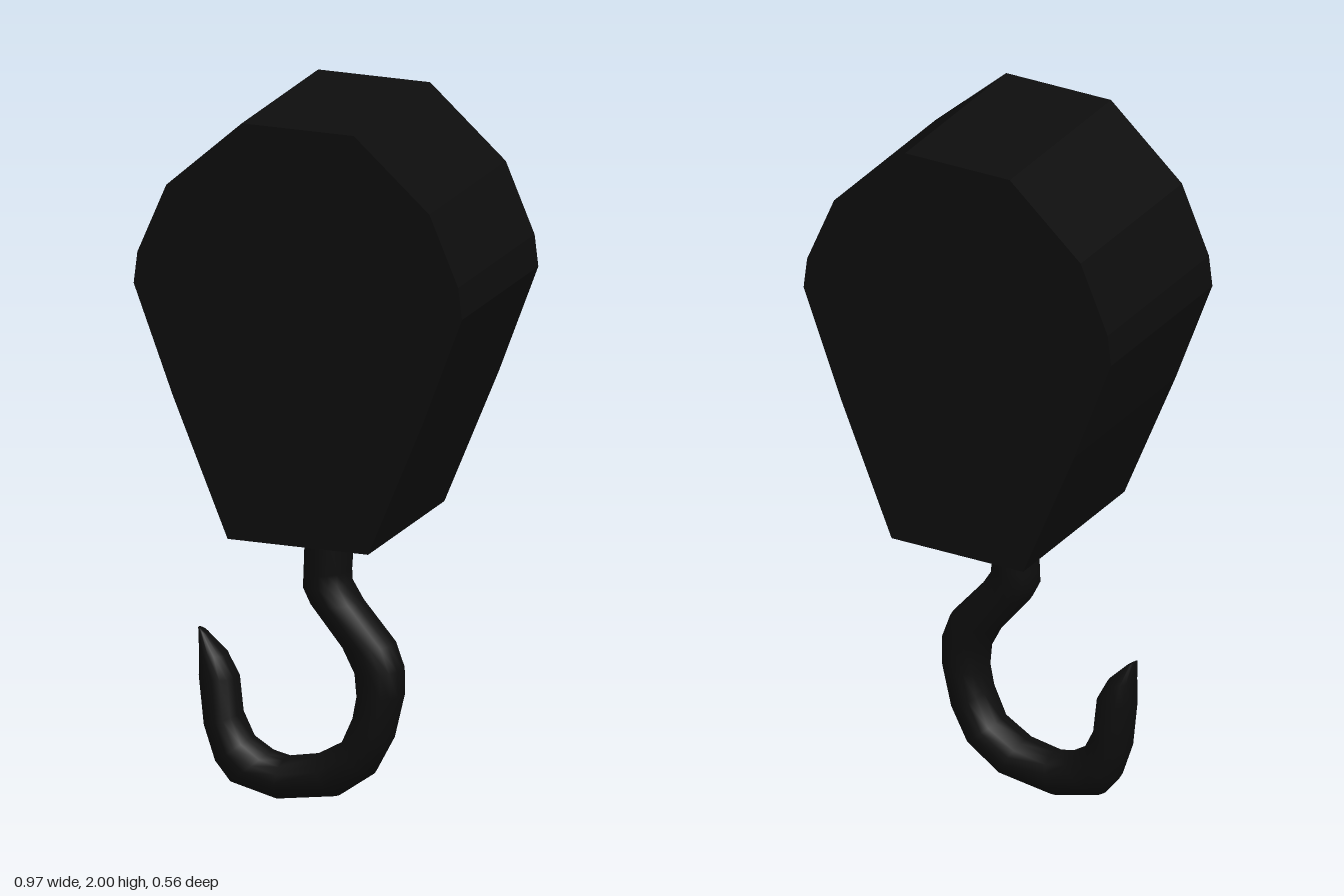
import * as THREE from 'three';

const material = new THREE.MeshStandardMaterial({ color: 0x0d0d0d });

// Faceted pulley housing: half outline mirrored in x, extruded along z
function createHousing() {
  const half = [[0.165, 2], [0.388, 1.8], [0.473, 1.6], [0.484, 1.51], [0.368, 1.2], [0.207, 0.81]];
  const mirrored = half.map(([x, y]) => [-x, y]).reverse();
  const outline = [...half, ...mirrored].map(([x, y]) => new THREE.Vector2(x, y));
  const geometry = new THREE.ExtrudeGeometry(new THREE.Shape(outline), { depth: 0.56, bevelEnabled: false });
  geometry.translate(0, 0, -0.28);
  const mesh = new THREE.Mesh(geometry, material);
  mesh.name = 'housing';
  return mesh;
}

// Hook: elliptical rings spanning inner and outer edge points, from shank to tip
function createHook() {
  const sides = 16;
  // inner x, inner y, outer x, outer y, half depth
  const sections = [
    [-0.085, 0.815, 0.052, 0.815, 0.07],
    [-0.09, 0.66, 0.042, 0.67, 0.07],
    [-0.092, 0.615, 0.043, 0.64, 0.07],
    [-0.07, 0.57, 0.077, 0.585, 0.07],
    [0.024, 0.455, 0.172, 0.475, 0.07],
    [0.06, 0.385, 0.197, 0.405, 0.07],
    [0.066, 0.32, 0.198, 0.33, 0.07],
    [0.055, 0.26, 0.167, 0.2, 0.07],
    [0.02, 0.18, 0.114, 0.1, 0.07],
    [-0.055, 0.137, 0.01, 0.026, 0.07],
    [-0.145, 0.12, -0.165, 0, 0.07],
    [-0.19, 0.13, -0.305, 0.035, 0.07],
    [-0.246, 0.164, -0.35, 0.09, 0.068],
    [-0.278, 0.23, -0.384, 0.19, 0.064],
    [-0.288, 0.33, -0.4, 0.33, 0.058],
    [-0.32, 0.39, -0.4, 0.4, 0.045],
    [-0.373, 0.442, -0.405, 0.462, 0.016],
  ];
  const positions = [];
  const index = [];
  for (const [ax, ay, bx, by, depth] of sections) {
    for (let j = 0; j < sides; j++) {
      const angle = (j / sides) * Math.PI * 2;
      const t = 0.5 + 0.5 * Math.cos(angle);
      positions.push(ax + (bx - ax) * t, ay + (by - ay) * t, depth * Math.sin(angle));
    }
  }
  for (let i = 0; i < sections.length - 1; i++) {
    for (let j = 0; j < sides; j++) {
      const a = i * sides + j;
      const b = i * sides + ((j + 1) % sides);
      index.push(a, b, a + sides, b, b + sides, a + sides);
    }
  }
  // Close the tip
  const last = (sections.length - 1) * sides;
  for (let j = 1; j < sides - 1; j++) index.push(last, last + j, last + j + 1);

  const geometry = new THREE.BufferGeometry();
  geometry.setAttribute('position', new THREE.Float32BufferAttribute(positions, 3));
  geometry.setIndex(index);
  geometry.computeVertexNormals();
  const mesh = new THREE.Mesh(geometry, material);
  mesh.name = 'hook';
  return mesh;
}

export function createModel() {
  const group = new THREE.Group();
  group.name = 'craneHookBlock';
  group.add(createHousing(), createHook());
  return group;
}
